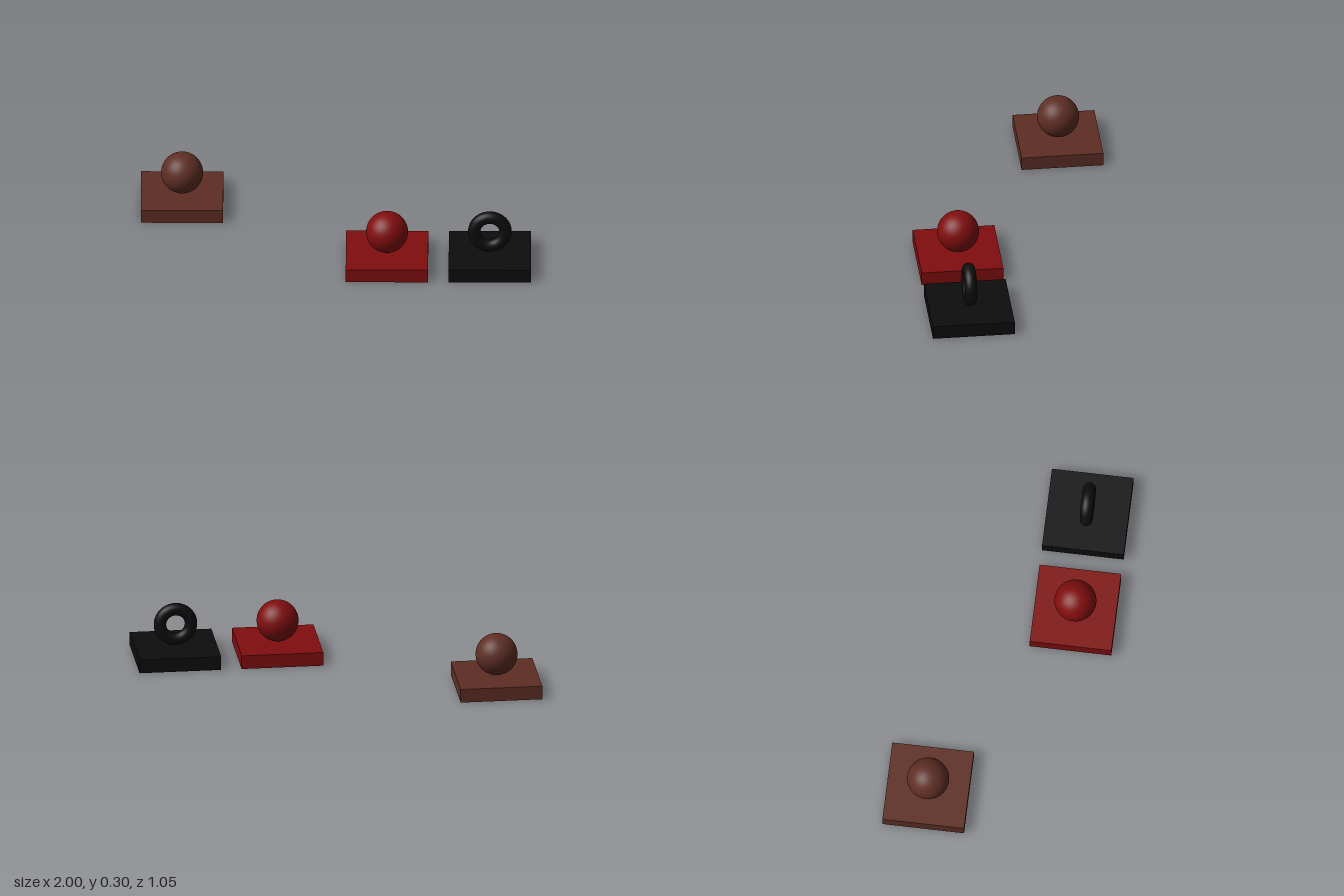
import * as THREE from 'three';

const BASE = 0.421, HEIGHT = 0.0715;

export function createModel() {
  const model = new THREE.Group();
  const material = (name, color) => {
    const m = new THREE.MeshStandardMaterial({ color });
    m.name = name;
    return m;
  };
  const plinthShape = new THREE.BoxGeometry(BASE, HEIGHT, BASE);
  const ballShape = new THREE.SphereGeometry(0.1075, 48, 32);
  const ringShape = new THREE.TorusGeometry(0.08, 0.032, 24, 64);

  // A square plinth with an ornament resting on top
  const addPiece = (name, x, z, mat, shape, ornament, y) => {
    const piece = new THREE.Group();
    piece.name = name;
    piece.position.set(x, 0, z);
    const plinth = new THREE.Mesh(plinthShape, mat);
    plinth.name = name + 'Plinth';
    plinth.position.y = HEIGHT / 2;
    const top = new THREE.Mesh(shape, mat);
    top.name = name + ornament;
    top.position.y = y;
    piece.add(plinth, top);
    model.add(piece);
  };

  addPiece('brown', -0.7895, -0.316, material('brown', 0x5e2e24), ballShape, 'Ball', 0.1795);
  addPiece('red', 0.263, 0.316, material('darkRed', 0x800d0e), ballShape, 'Ball', 0.1795);
  addPiece('black', 0.7895, 0.316, material('black', 0x0d0d0d), ringShape, 'Ring', 0.1835);
  return model;
}
